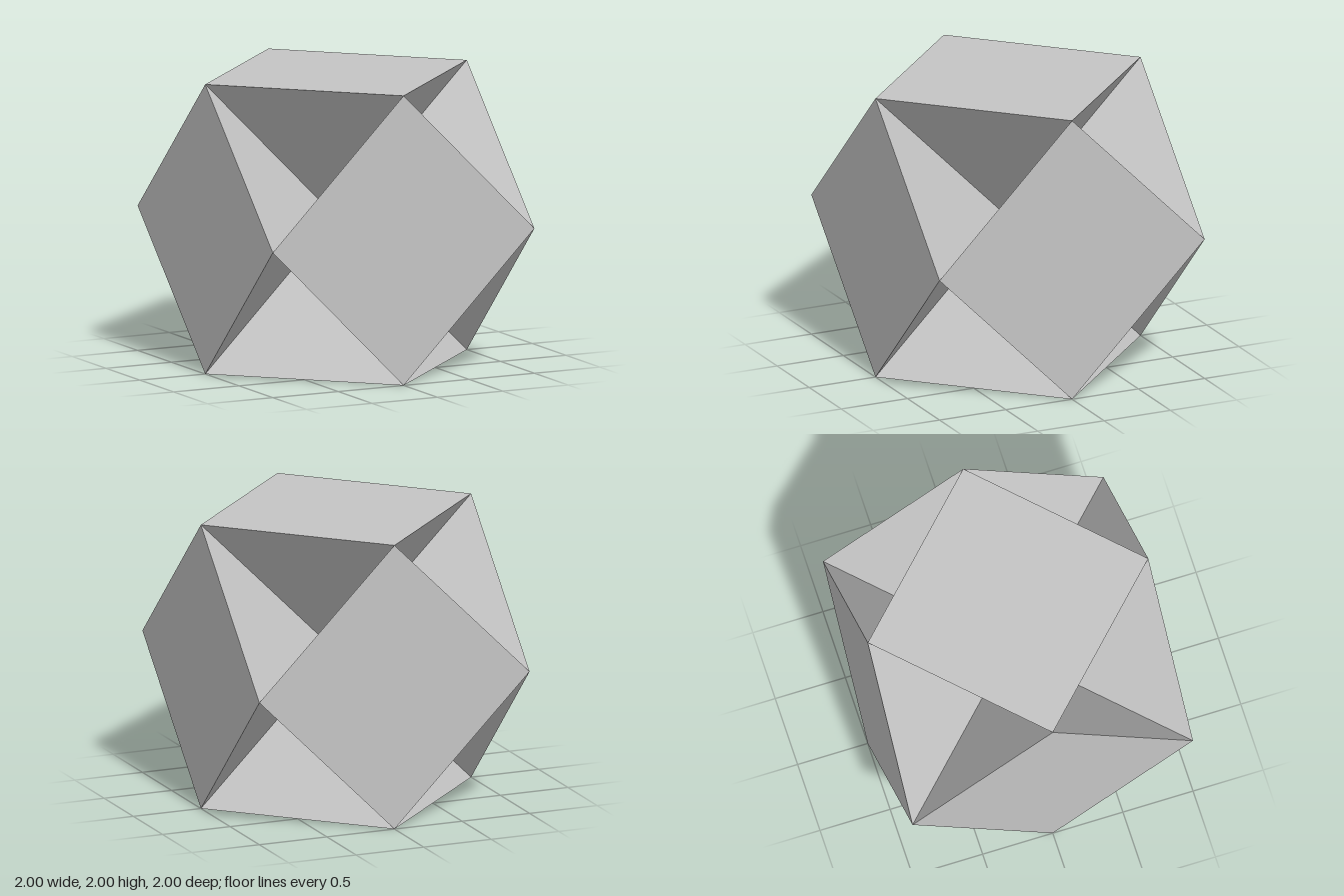
import * as THREE from 'three';

// Six square pyramids whose tips meet at the centre: a cuboctahedron outline
// with its eight triangular faces sunk to the middle.
export function createModel() {
  const group = new THREE.Group();
  group.name = 'cubohemioctahedron';

  const grey = new THREE.MeshStandardMaterial({ color: 0xc4c4c4 });
  grey.name = 'light grey';

  // Tip at the origin, square base at y = -1, one normal per face
  const pyramid = new THREE.ConeGeometry(1, 1, 4).translate(0, -0.5, 0).toNonIndexed();
  pyramid.computeVertexNormals();

  const q = Math.PI / 2;
  const sides = [
    ['bottomPyramid', 0, 0],
    ['topPyramid', 2 * q, 0],
    ['frontPyramid', -q, 0],
    ['backPyramid', q, 0],
    ['leftPyramid', 0, q],
    ['rightPyramid', 0, -q],
  ];
  for (const [name, rx, rz] of sides) {
    const mesh = new THREE.Mesh(pyramid, grey);
    mesh.name = name;
    mesh.rotation.set(rx, 0, rz);
    mesh.position.y = 1;
    group.add(mesh);
  }
  return group;
}
